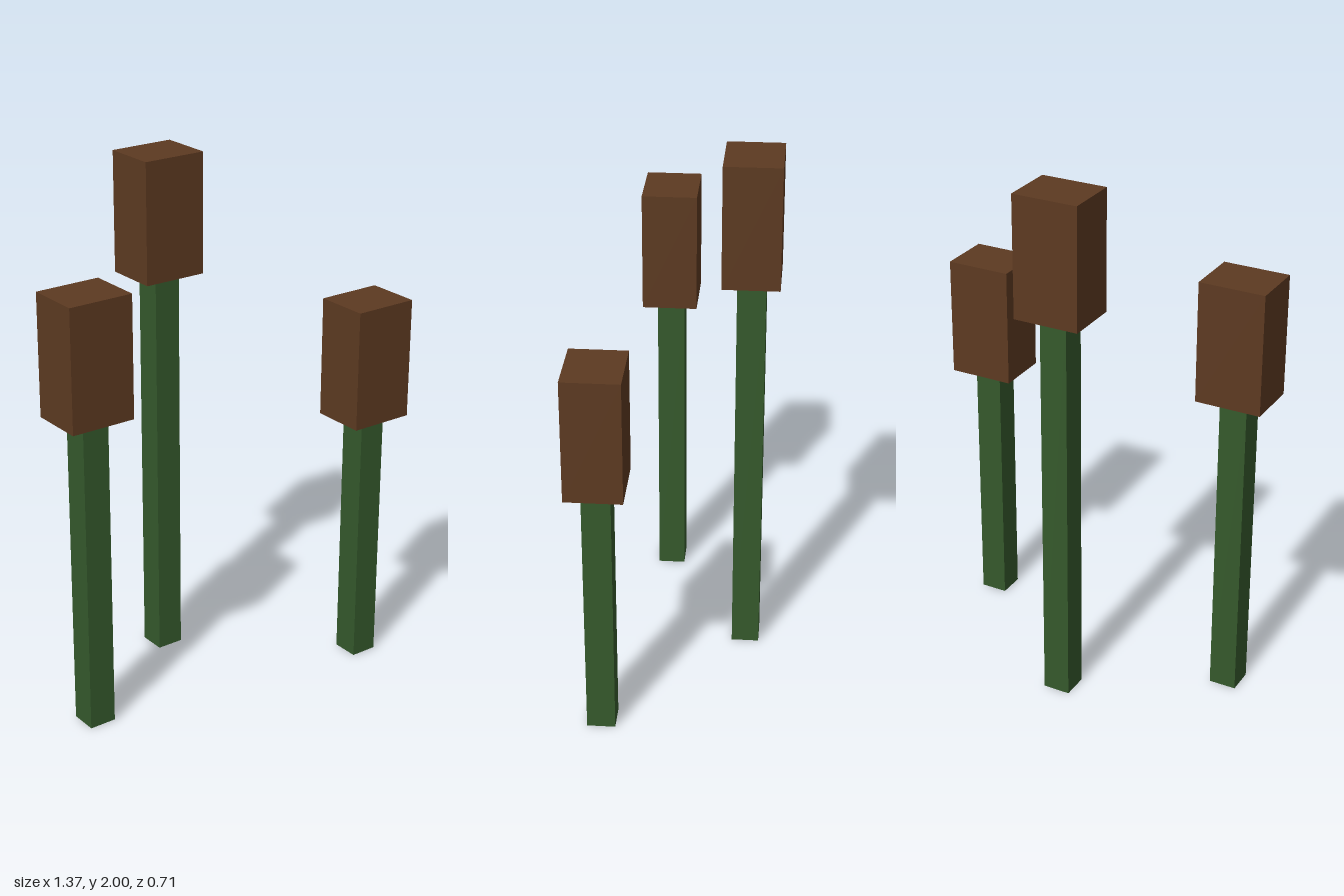
import * as THREE from 'three';

export function createModel() {
  const model = new THREE.Group();
  model.name = 'cattails';

  const stemGreen = new THREE.MeshStandardMaterial({ color: 0x35592c });
  stemGreen.name = 'stem green';
  const headBrown = new THREE.MeshStandardMaterial({ color: 0x5d3a21 });
  headBrown.name = 'head brown';

  const headHeight = 0.458;
  const stemWidth = 0.104;

  // Adds a box standing on the given height
  function addBox(parent, name, material, width, height, depth, bottom) {
    const mesh = new THREE.Mesh(new THREE.BoxGeometry(width, height, depth), material);
    mesh.name = name;
    mesh.position.y = bottom + height / 2;
    parent.add(mesh);
  }

  // One reed: square stem with a seed head resting on top
  function addReed(name, x, z, stemHeight) {
    const reed = new THREE.Group();
    reed.name = name;
    reed.position.set(x, 0, z);
    addBox(reed, 'stem', stemGreen, stemWidth, stemHeight, stemWidth, 0);
    addBox(reed, 'seedHead', headBrown, 0.25, headHeight, 0.208, stemHeight);
    model.add(reed);
  }

  addReed('tallReed', -0.021, -0.25, 1.542);
  addReed('mediumReed', -0.562, 0.083, 1.209);
  addReed('shortReed', 0.562, 0.25, 1.0);

  return model;
}
